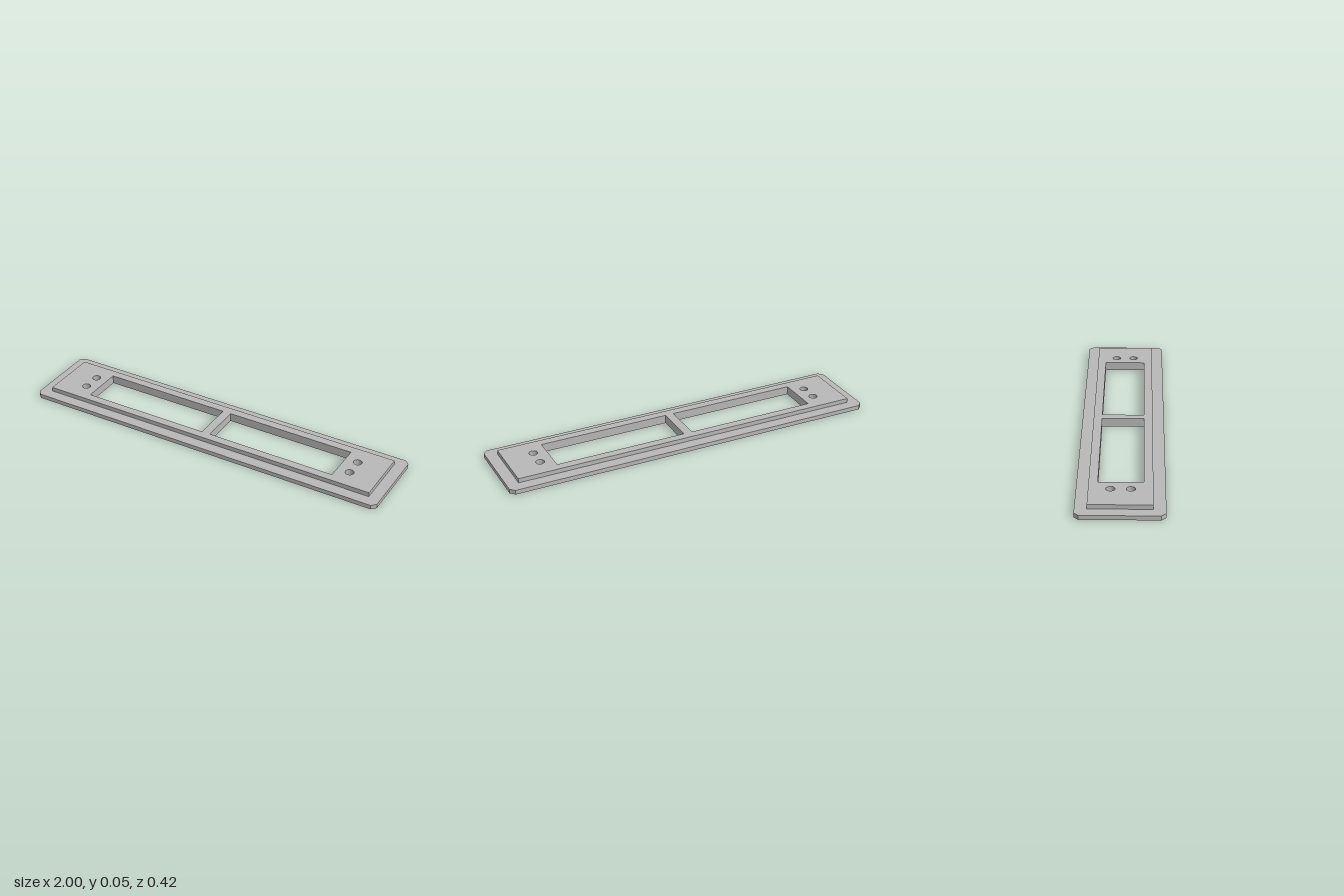
import * as THREE from 'three';
import { toCreasedNormals } from 'three/addons/utils/BufferGeometryUtils.js';

const STEP = 0.023, TOP = 0.046; // heights of the flange and of the raised panel

// Counter-clockwise rectangle, with optional chamfered corners
function rectangle(cx, halfX, halfZ, c = 0) {
  const corners = [
    [-halfX + c, -halfZ], [halfX - c, -halfZ], [halfX, -halfZ + c], [halfX, halfZ - c],
    [halfX - c, halfZ], [-halfX + c, halfZ], [-halfX, halfZ - c], [-halfX, -halfZ + c],
  ];
  return corners
    .filter((_, i) => c > 0 || i % 2 === 0 === (i < 8) && [0, 2, 4, 6].includes(i))
    .map(([x, y]) => new THREE.Vector2(cx + x, y));
}

function circle(cx, cy, r, n = 32) {
  return Array.from({ length: n }, (_, i) => {
    const a = (i / n) * Math.PI * 2;
    return new THREE.Vector2(cx + r * Math.cos(a), cy + r * Math.sin(a));
  });
}

// Horizontal face with cut-outs, facing up or down
function face(outline, holes, y, up) {
  const shape = new THREE.Shape(outline);
  shape.holes = holes.map((h) => new THREE.Path(h));
  return new THREE.ShapeGeometry(shape).rotateX(up ? -Math.PI / 2 : Math.PI / 2).translate(0, y, 0);
}

// Vertical wall around an outline; a reversed outline faces inwards
function wall(points, y0, y1) {
  const pos = [];
  points.forEach((a, i) => {
    const b = points[(i + 1) % points.length];
    pos.push(a.x, y0, -a.y, b.x, y0, -b.y, b.x, y1, -b.y);
    pos.push(a.x, y0, -a.y, b.x, y1, -b.y, a.x, y1, -a.y);
  });
  const g = new THREE.BufferGeometry();
  g.setAttribute('position', new THREE.Float32BufferAttribute(pos, 3));
  g.computeVertexNormals();
  return toCreasedNormals(g, Math.PI / 6);
}

export function createModel() {
  const model = new THREE.Group();
  model.name = 'mountingPlate';
  const grey = new THREE.MeshStandardMaterial({ color: 0xb8b8b8 });
  grey.name = 'plain grey';

  const add = (name, geometry) => {
    const mesh = new THREE.Mesh(geometry, grey);
    mesh.name = name;
    model.add(mesh);
  };

  const flange = rectangle(0, 1, 0.212, 0.023);
  const panel = rectangle(0, 0.94, 0.153);

  // Two windows and four screw holes, mirrored left and right
  const openings = [];
  for (const side of [-1, 1]) {
    openings.push({ name: 'window', points: rectangle(side * 0.3715, 0.3485, 0.109) });
    for (const row of [-1, 1]) {
      openings.push({ name: 'screwHole', points: circle(side * 0.787, row * 0.048, 0.022) });
    }
  }
  const cuts = openings.map((o) => o.points);

  // Flange with its underside and the ledge around the panel
  add('underside', face(flange, cuts, 0, false));
  add('flangeEdge', wall(flange, 0, STEP));
  add('flangeLedge', face(flange, [panel], STEP, true));

  // Raised panel
  add('panelEdge', wall(panel, STEP, TOP));
  add('panelTop', face(panel, cuts, TOP, true));

  // Inner walls of the openings, running the full height
  for (const o of openings) add(o.name + 'Wall', wall([...o.points].reverse(), 0, TOP));

  return model;
}
